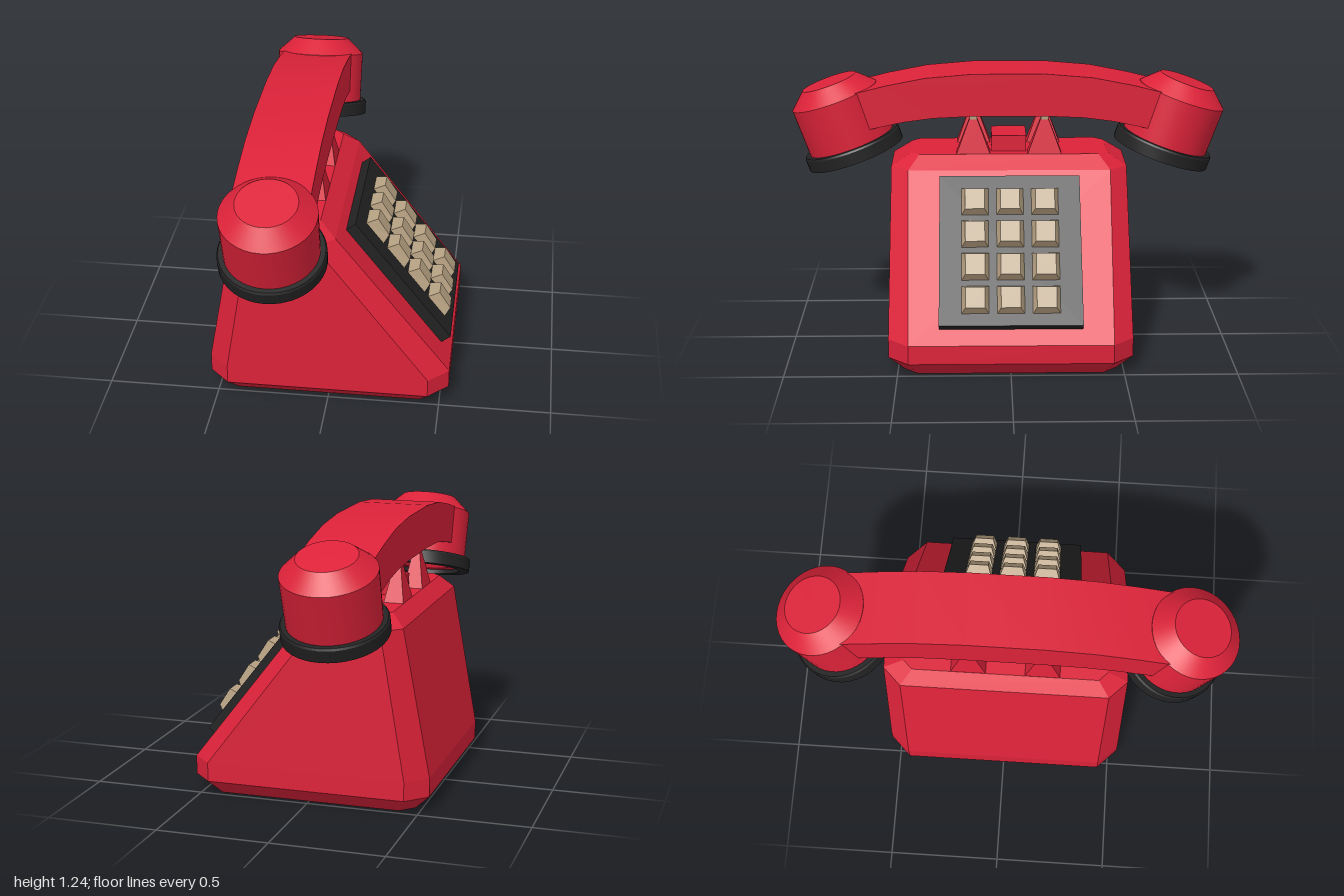
import * as THREE from 'three';
import { toCreasedNormals } from 'three/addons/utils/BufferGeometryUtils.js';

const red = new THREE.MeshStandardMaterial({ color: 0xdc2239 });
const black = new THREE.MeshStandardMaterial({ color: 0x222222 });
const tan = new THREE.MeshStandardMaterial({ color: 0xb8a283 });

function add(parent, name, geometry, material, x = 0, y = 0, z = 0) {
  const mesh = new THREE.Mesh(geometry, material);
  mesh.name = name;
  mesh.position.set(x, y, z);
  parent.add(mesh);
  return mesh;
}

// Rectangle at height y, with corners cut by c when given
function ring(y, x0, x1, z, c = 0) {
  const k = z - c;
  const points = c
    ? [[x1, k], [x1, -k], [x1 - c, -z], [x0 + c, -z], [x0, -k], [x0, k], [x0 + c, z], [x1 - c, z]]
    : [[x1, z], [x1, -z], [x0, -z], [x0, z]];
  return points.map(([px, pz]) => [px, y, pz]);
}

// Flat-shaded closed solid through a stack of rings, bottom to top
function loft(rings) {
  const v = [];
  const n = rings[0].length;
  const top = rings[rings.length - 1];
  for (let i = 0; i < rings.length - 1; i++) {
    for (let j = 0; j < n; j++) {
      const k = (j + 1) % n;
      const [a, b, c, d] = [rings[i][j], rings[i][k], rings[i + 1][k], rings[i + 1][j]];
      v.push(...a, ...b, ...c, ...a, ...c, ...d);
    }
  }
  for (let j = 1; j < n - 1; j++) {
    v.push(...top[0], ...top[j], ...top[j + 1]);
    v.push(...rings[0][0], ...rings[0][j + 1], ...rings[0][j]);
  }
  const geometry = new THREE.BufferGeometry();
  geometry.setAttribute('position', new THREE.Float32BufferAttribute(v, 3));
  geometry.computeVertexNormals();
  return geometry;
}

function lathe(points) {
  const profile = points.map(([r, y]) => new THREE.Vector2(r, y));
  return toCreasedNormals(new THREE.LatheGeometry(profile, 40), 0.4);
}

function createKeypad() {
  // Local x runs down the slope, y points out of it
  const keypad = new THREE.Group();
  keypad.name = 'keypad';
  keypad.position.set(0.1, 0.803, 0);
  keypad.rotation.z = -Math.atan2(0.789, 0.615);
  add(keypad, 'keypadPlate', new THREE.BoxGeometry(0.706, 0.055, 0.63), black, 0.353, -0.0275, 0);

  // Tapered key with a top that slopes towards the lower edge
  const keyTop = ring(0.049, 0.022, 0.115, 0.043);
  for (const p of keyTop) if (p[0] > 0.1) p[1] = 0.04;
  const key = loft([ring(-0.005, 0, 0.13, 0.062), keyTop]);
  for (let row = 0; row < 4; row++) {
    for (let col = -1; col <= 1; col++) {
      add(keypad, 'key', key, tan, 0.06 + row * 0.154, 0, col * 0.156);
    }
  }
  return keypad;
}

function createHandset() {
  const handset = new THREE.Group();
  handset.name = 'handset';
  handset.position.x = -0.2;

  // Bowed handle, extruded across its width
  const half = [[0.165, 1.24], [0.38, 1.222], [0.56, 1.187], [0.71, 1.15],
    [0.64, 0.985], [0.48, 1.019], [0.345, 1.037], [0.165, 1.045]];
  const mirrored = half.map(([z, y]) => [-z, y]).reverse();
  const shape = new THREE.Shape([...half, ...mirrored].map(([z, y]) => new THREE.Vector2(z, y)));
  const handle = new THREE.ExtrudeGeometry(shape, { depth: 0.325, bevelEnabled: false });
  handle.translate(0, 0, -0.1625).rotateY(Math.PI / 2);
  add(handset, 'handle', toCreasedNormals(handle, 0.4), red);

  // Ear and mouth cups with recessed faces and dark rims
  const cup = lathe([[0, 0.07], [0.1, 0.07], [0.13, 0.02], [0.202, 0.02],
    [0.205, 0.29], [0.13, 0.36], [0, 0.36]]);
  const rim = lathe([[0.18, 0], [0.23, 0], [0.23, 0.055], [0.224, 0.064], [0.18, 0.064], [0.18, 0]]);
  for (const [name, turn] of [['earpiece', 0], ['mouthpiece', Math.PI]]) {
    const end = new THREE.Group();
    end.name = name;
    end.rotation.y = turn;
    const tilted = new THREE.Group();
    tilted.name = name + 'Tilt';
    tilted.position.set(0, 0.836, 0.71);
    tilted.rotation.x = 0.333;
    add(tilted, 'cup', cup, red);
    add(tilted, 'rim', rim, black);
    end.add(tilted);
    handset.add(end);
  }
  return handset;
}

function createCradle() {
  const cradle = new THREE.Group();
  cradle.name = 'cradle';
  cradle.position.set(-0.2, 0.865, 0);
  add(cradle, 'cradleBlock', new THREE.BoxGeometry(0.2, 0.08, 0.16), red, 0, 0.035, 0);

  // Four tapered prongs, each with a small plunger on top
  const prong = loft([ring(0, -0.045, 0.045, 0.078), ring(0.158, -0.016, 0.016, 0.019)]);
  const plunger = new THREE.BoxGeometry(0.026, 0.03, 0.034);
  for (const x of [-0.115, 0.115]) {
    for (const z of [-0.163, 0.163]) {
      add(cradle, 'prong', prong, red, x, 0, z);
      add(cradle, 'plunger', plunger, tan, x, 0.158, z);
    }
  }
  return cradle;
}

export function createModel() {
  const model = new THREE.Group();
  model.name = 'deskTelephone';

  // Wedge body with chamfered edges all round
  const body = loft([
    ring(0, -0.47, 0.47, 0.47, 0.06),
    ring(0.07, -0.54, 0.54, 0.54, 0.09),
    ring(0.155, -0.54, 0.54, 0.54, 0.09),
    ring(0.81, -0.42, 0.03, 0.54, 0.08),
    ring(0.868, -0.36, -0.04, 0.45, 0.04),
  ]);
  add(model, 'body', body, red);
  model.add(createKeypad(), createCradle(), createHandset());
  return model;
}
